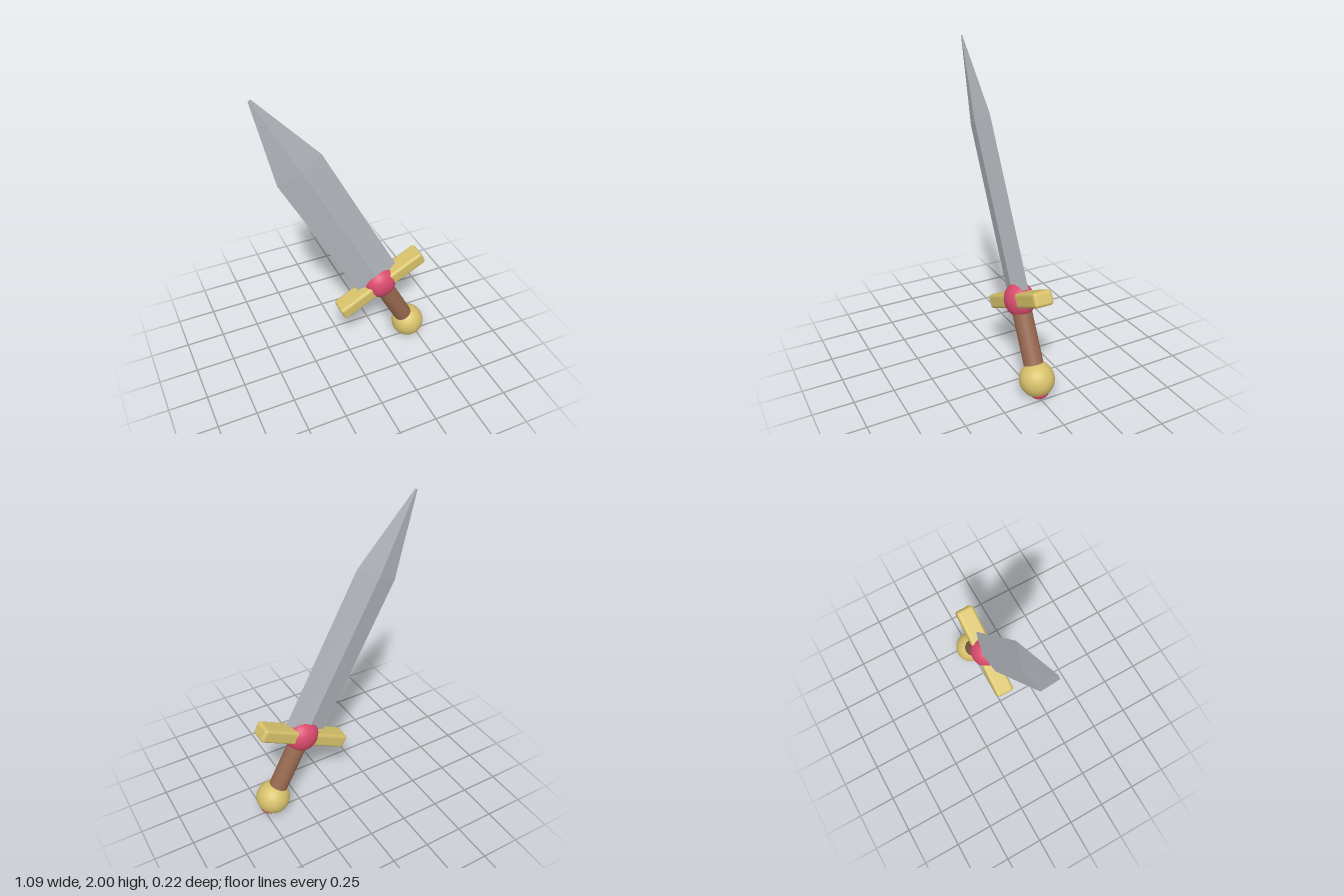
import * as THREE from 'three';
import { RoundedBoxGeometry } from 'three/addons/geometries/RoundedBoxGeometry.js';

function material(name, color) {
  const m = new THREE.MeshStandardMaterial({ color });
  m.name = name;
  return m;
}

export function createModel() {
  const steel = material('steel', 0xb4b8be);
  const gold = material('gold', 0xd6c16a);
  const ruby = material('ruby', 0xd84a6c);
  const leather = material('leather', 0x96684f);

  // The sword is built upright around the centre of its guard, then tilted.
  const sword = new THREE.Group();
  sword.name = 'sword';
  const add = (name, geometry, mat, y = 0) => {
    const mesh = new THREE.Mesh(geometry, mat);
    mesh.name = name;
    mesh.position.y = y;
    sword.add(mesh);
    return mesh;
  };
  const ball = (rx, ry, rz) => new THREE.SphereGeometry(1, 40, 28).scale(rx, ry, rz);

  // Blade: four-sided diamond section with a tapered point, flat faces
  const profile = [[0, 0.055], [0.149, 0.055], [0.149, 1.11], [0.009, 1.635], [0, 1.635]]
    .map(([r, y]) => new THREE.Vector2(r, y));
  const blade = new THREE.LatheGeometry(profile, 4).scale(1, 1, 0.037 / 0.149).toNonIndexed();
  blade.computeVertexNormals();
  add('blade', blade, steel);

  // Crossguard with its central gem
  add('guard', new RoundedBoxGeometry(0.64, 0.09, 0.122, 4, 0.02), gold);
  add('guardGem', ball(0.106, 0.106, 0.091), ruby);

  // Grip, pommel and the small gem set into its end
  add('grip', new THREE.CylinderGeometry(0.06, 0.06, 0.43, 40), leather, -0.245);
  add('pommel', ball(0.108, 0.108, 0.108), gold, -0.485);
  add('pommelGem', ball(0.052, 0.032, 0.052), ruby, -0.575);

  sword.rotation.z = THREE.MathUtils.degToRad(27.5);
  sword.position.set(0.215, 0.548, 0);

  const model = new THREE.Group();
  model.name = 'model';
  model.add(sword);
  return model;
}
